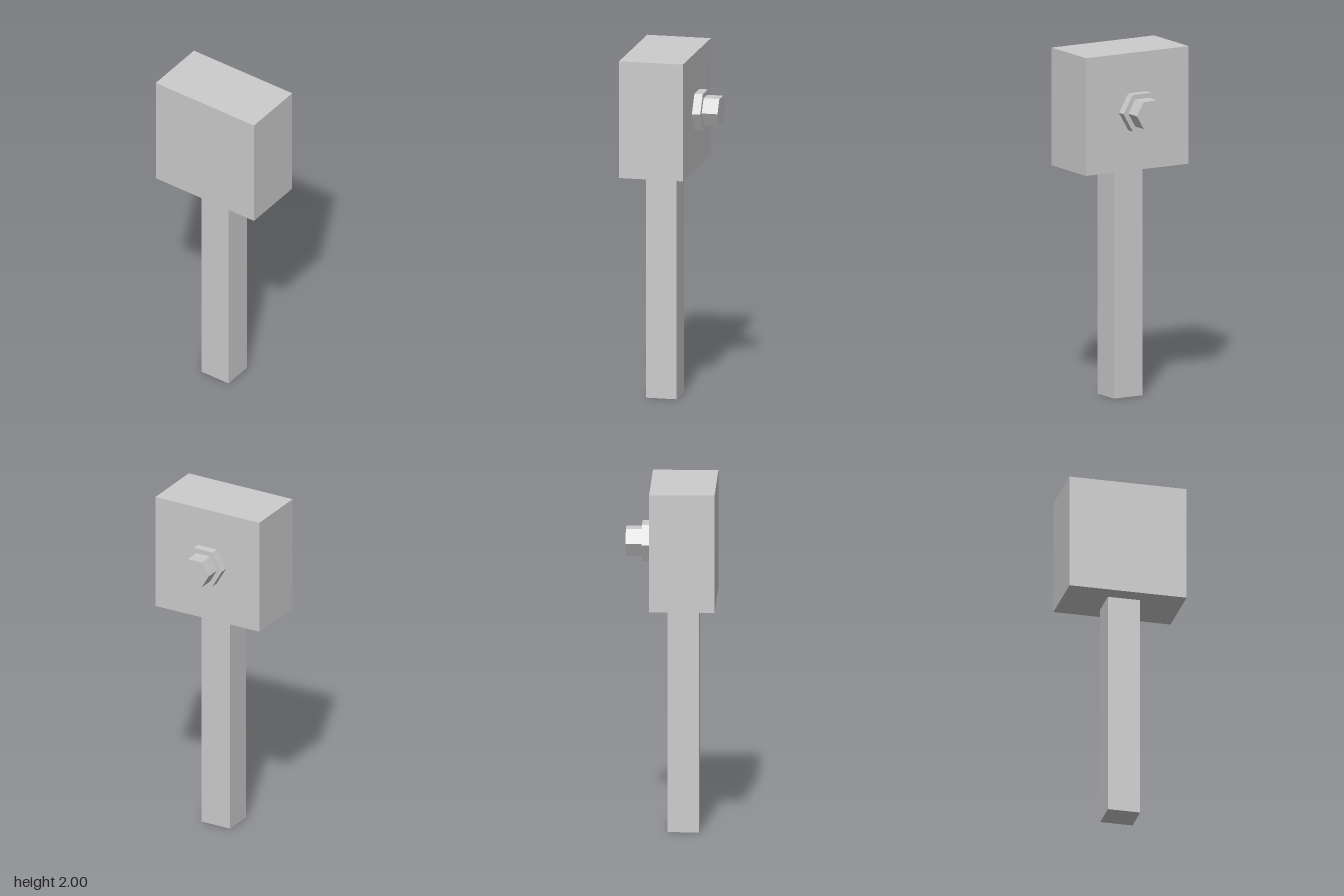
import * as THREE from 'three';

const material = new THREE.MeshStandardMaterial({ color: 0xcccccc, flatShading: true });

// Box given by its min and max corners
function block(name, min, max) {
  const size = max.map((v, i) => v - min[i]);
  const mesh = new THREE.Mesh(new THREE.BoxGeometry(...size), material);
  mesh.position.set(...max.map((v, i) => (v + min[i]) / 2));
  mesh.name = name;
  return mesh;
}

// Hexagonal prism lying along x, corners pointing to front and back
function hexPrism(name, radius, x0, x1) {
  const geometry = new THREE.CylinderGeometry(radius, radius, x1 - x0, 6);
  geometry.rotateZ(-Math.PI / 2);
  const mesh = new THREE.Mesh(geometry, material);
  mesh.position.set((x0 + x1) / 2, 1.663, -0.001);
  mesh.name = name;
  return mesh;
}

export function createModel() {
  const model = new THREE.Group();
  model.name = 'postWithBoltedBlock';

  // Square post carrying the head block
  model.add(block('post', [-0.16, 0, -0.093], [0.018, 1.323, 0.095]));
  model.add(block('headBlock', [-0.256, 1.323, -0.341], [0.114, 2, 0.341]));

  // Hexagonal bolt on the side of the head
  const bolt = new THREE.Group();
  bolt.name = 'bolt';
  bolt.add(hexPrism('boltCollar', 0.122, 0.114, 0.163));
  bolt.add(hexPrism('boltHead', 0.09, 0.163, 0.255));
  model.add(bolt);

  return model;
}
